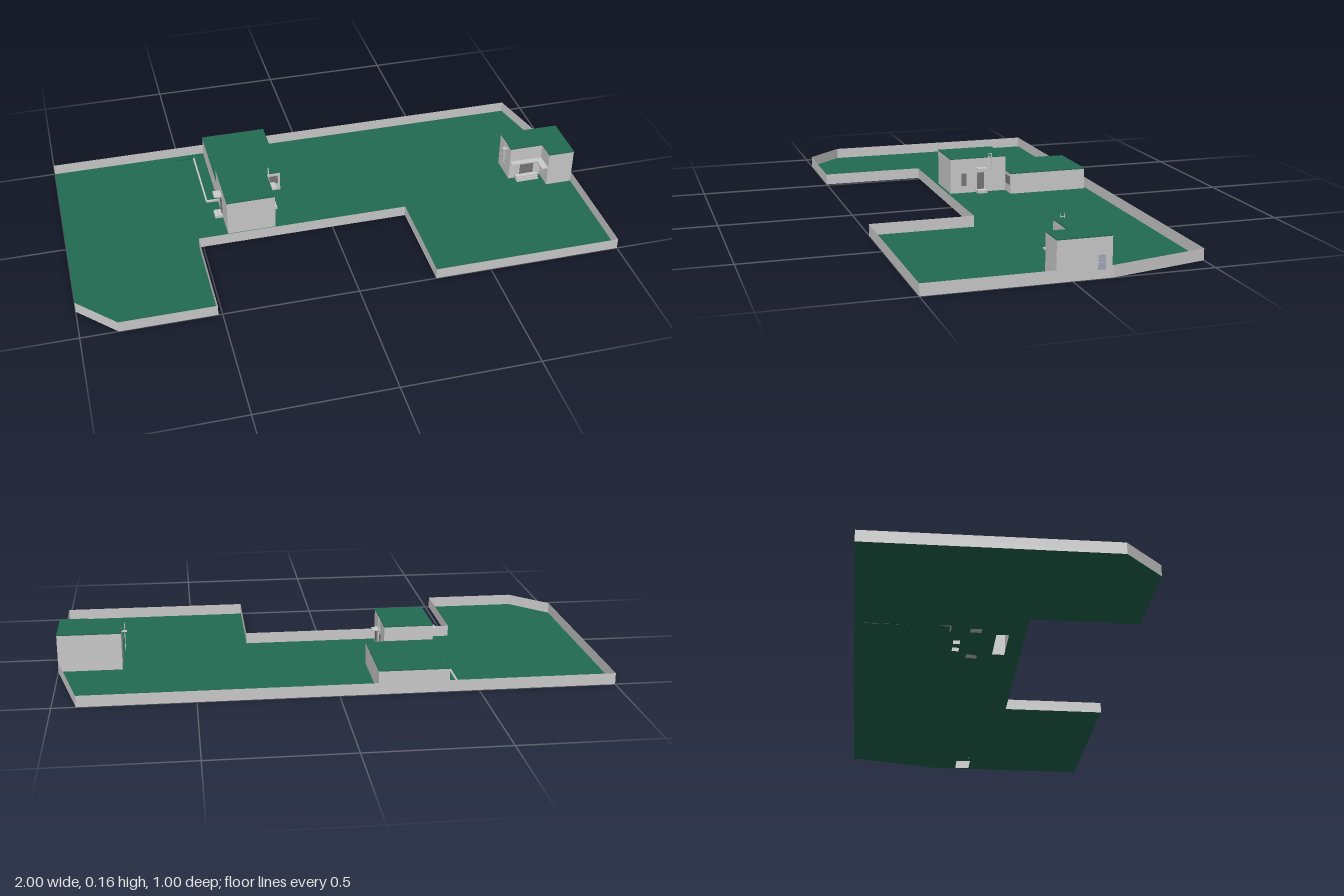
import * as THREE from 'three';

const grey = new THREE.MeshStandardMaterial({ color: 0xcccccc, side: THREE.DoubleSide });
const green = new THREE.MeshStandardMaterial({ color: 0x236b52, side: THREE.DoubleSide });
const dark = new THREE.MeshStandardMaterial({ color: 0x777777 });
const glass = new THREE.MeshStandardMaterial({ color: 0xa9a9c0 });

const rect = (x0, z0, x1, z1) => [[x0, z0], [x1, z0], [x1, z1], [x0, z1]];
const toPoints = (pts) => pts.map(([x, z]) => new THREE.Vector2(x, -z));

function add(parent, name, geometry, material) {
  const mesh = new THREE.Mesh(geometry, material);
  mesh.name = name;
  parent.add(mesh);
  return mesh;
}

// Box given by its lowest and highest corners
function box(parent, name, [x0, y0, z0], [x1, y1, z1], material = grey) {
  const mesh = add(parent, name, new THREE.BoxGeometry(x1 - x0, y1 - y0, z1 - z0), material);
  mesh.position.set((x0 + x1) / 2, (y0 + y1) / 2, (z0 + z1) / 2);
}

// Flat horizontal sheet at height y
function sheet(parent, name, outline, y, material, holes = []) {
  const shape = new THREE.Shape(toPoints(outline));
  shape.holes = holes.map((h) => new THREE.Path(toPoints(h)));
  add(parent, name, new THREE.ShapeGeometry(shape).rotateX(-Math.PI / 2).translate(0, y, 0), material);
}

// Thin upright walls following a closed outline
function walls(parent, name, outline, y0, y1) {
  const pos = [];
  outline.forEach(([ax, az], i) => {
    const [bx, bz] = outline[(i + 1) % outline.length];
    pos.push(ax, y0, az, ax, y1, az, bx, y1, bz, ax, y0, az, bx, y1, bz, bx, y0, bz);
  });
  const g = new THREE.BufferGeometry();
  g.setAttribute('position', new THREE.Float32BufferAttribute(pos, 3));
  g.computeVertexNormals();
  add(parent, name, g, grey);
}

// Hut with plain walls and a thin green roof
function hut(parent, name, outline, height) {
  const group = new THREE.Group();
  group.name = name;
  parent.add(group);
  walls(group, 'hutWalls', outline, 0, height - 0.004);
  const roof = new THREE.ExtrudeGeometry(new THREE.Shape(toPoints(outline)), { depth: 0.004, bevelEnabled: false });
  add(group, 'hutRoof', roof.rotateX(-Math.PI / 2).translate(0, height - 0.004, 0), green);
  return group;
}

// Ladder standing beside a wall that faces along x
function ladder(parent, x, z, y0, y1) {
  const group = new THREE.Group();
  group.name = 'ladder';
  parent.add(group);
  for (const s of [-1, 1]) {
    box(group, 'ladderRail', [x - 0.001, y0, z + s * 0.007 - 0.001], [x + 0.001, y1, z + s * 0.007 + 0.001]);
  }
  for (let y = y0 + 0.01; y < y1; y += 0.014) {
    box(group, 'ladderRung', [x - 0.001, y, z - 0.007], [x + 0.001, y + 0.002, z + 0.007]);
  }
}

export function createModel() {
  const model = new THREE.Group();
  model.name = 'flatRoof';

  // Roof floor with its parapet
  const outline = [
    [-1, -0.5], [0.915, -0.5], [1, -0.14], [1, 0.5], [0.29, 0.5],
    [0.29, 0.11], [-0.515, 0.11], [-0.515, 0.5], [-0.865, 0.5], [-1, 0.36],
  ];
  const openings = [
    rect(-0.385, 0.005, -0.22, 0.05), rect(-0.265, -0.145, -0.235, -0.12),
    rect(-0.325, -0.145, -0.295, -0.12), rect(0.9, -0.045, 0.99, 0.015),
  ];
  sheet(model, 'roofFloor', outline, 0, green, openings);
  walls(model, 'parapet', outline, 0, 0.042);

  // Tall stair hut with a door step and canopy on each side
  const tall = hut(model, 'stairHut', rect(-0.395, -0.175, -0.21, 0.055), 0.143);
  for (const [wall, out] of [[-0.395, -1], [-0.21, 1]]) {
    const x0 = Math.min(wall, wall + out * 0.03), x1 = Math.max(wall, wall + out * 0.03);
    box(tall, 'doorStep', [x0, 0, -0.09], [x1, 0.012, -0.05]);
    box(tall, 'doorCanopy', [x0, 0.098, -0.09], [x1, 0.102, -0.05]);
    box(tall, 'door', [wall - 0.002, 0.012, -0.085], [wall + 0.002, 0.08, -0.055], dark);
  }
  ladder(tall, -0.2, -0.106, 0.02, 0.157);
  box(tall, 'wallVent', [-0.211, 0.03, -0.01], [-0.205, 0.08, 0.01], dark);

  // Low plant hut behind it
  const low = hut(model, 'plantHut', rect(-0.395, -0.49, -0.14, -0.175), 0.085);
  box(low, 'ventGrille', [-0.2, 0.035, -0.176], [-0.15, 0.068, -0.172], dark);

  // Low curbs beside the plant hut
  box(model, 'curb', [-0.442, 0, -0.465], [-0.436, 0.008, -0.16]);
  box(model, 'curbEnd', [-0.436, 0, -0.164], [-0.395, 0.008, -0.158]);
  box(model, 'curbReturn', [-0.52, 0, -0.487], [-0.436, 0.006, -0.465], green);

  // Corner hut with a notch at its front
  const corner = hut(model, 'cornerHut', [
    [0.765, -0.135], [1, -0.135], [1, 0.055], [0.897, 0.055], [0.897, -0.02], [0.765, -0.02],
  ], 0.143);
  box(corner, 'notchCanopy', [0.765, 0.077, -0.02], [0.897, 0.082, 0.003]);
  box(corner, 'notchSideCanopy', [0.872, 0.077, 0.003], [0.897, 0.082, 0.055]);
  box(corner, 'notchDoor', [0.81, 0.005, -0.02], [0.865, 0.07, -0.016], dark);
  for (let i = 0; i < 3; i++) {
    box(corner, 'notchStep', [0.79, 0, -0.016], [0.88, 0.018 - i * 0.006, 0.002 + i * 0.005]);
  }
  for (const y of [0.03, 0.056]) {
    box(corner, 'sideWindow', [0.997, y, -0.112], [1.0008, y + 0.024, -0.086], glass);
  }
  ladder(corner, 0.754, -0.057, 0.05, 0.157);
  box(corner, 'ladderBracket', [0.745, 0.122, -0.064], [0.765, 0.125, -0.05]);

  return model;
}
